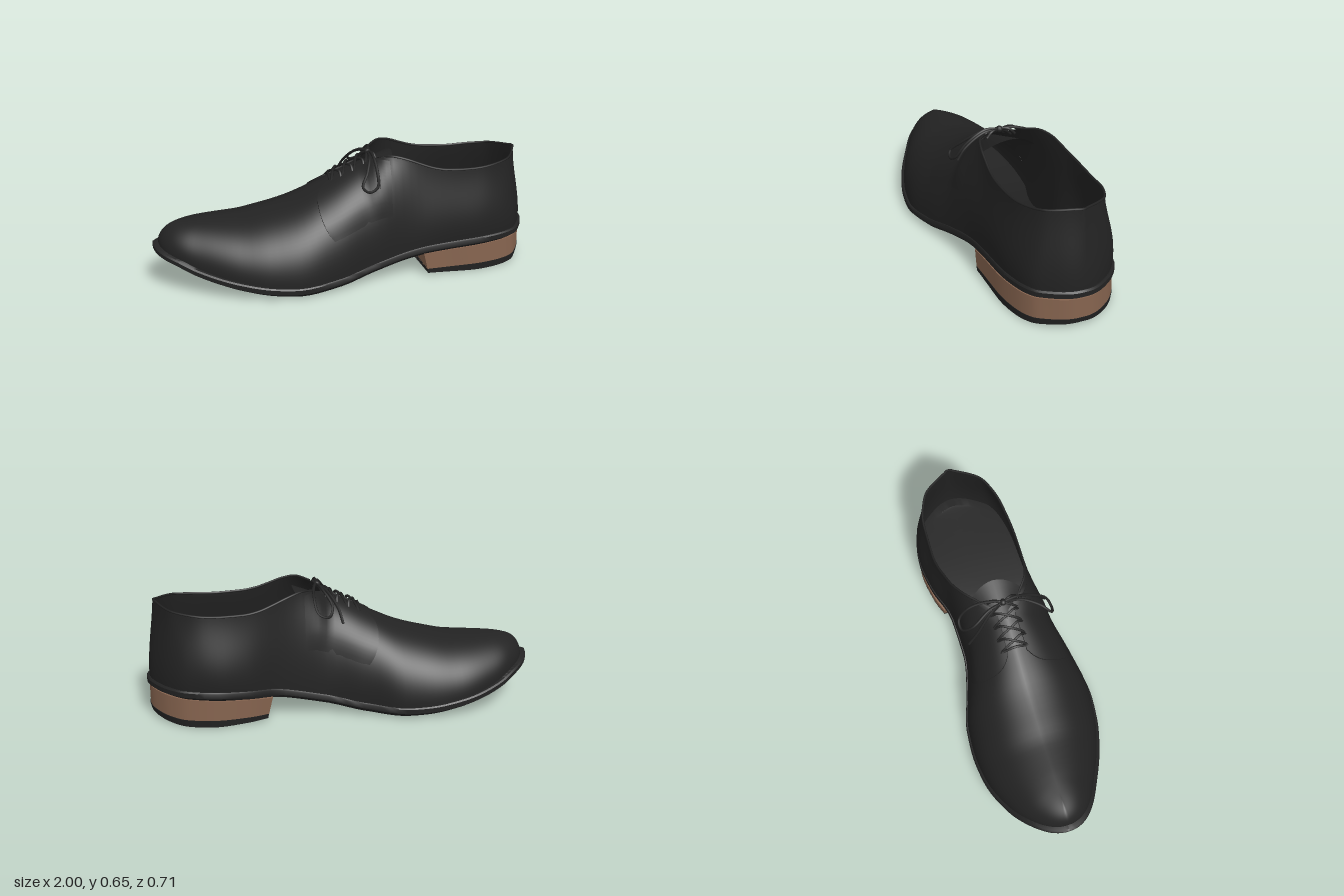
import * as THREE from 'three';
import { mergeVertices, toCreasedNormals } from 'three/addons/utils/BufferGeometryUtils.js';

const leather = new THREE.MeshStandardMaterial({ color: 0x222222, side: THREE.DoubleSide });
leather.name = 'black leather';
const stack = new THREE.MeshStandardMaterial({ color: 0x86644f, side: THREE.DoubleSide });
stack.name = 'brown heel stack';

// Smooth monotone interpolation of [x, value] pairs; keys are spread by angle so both ends round off
const key = x => Math.acos(THREE.MathUtils.clamp(-x, -1, 1));
function table(rows) {
  const k = rows.map(r => key(r[0])), v = rows.map(r => r[1]), n = rows.length;
  const d = k.slice(1).map((b, i) => (v[i + 1] - v[i]) / (b - k[i]));
  const m = v.map((_, i) => i === 0 ? d[0] : i === n - 1 ? d[n - 2]
    : d[i - 1] * d[i] <= 0 ? 0 : 2 * d[i - 1] * d[i] / (d[i - 1] + d[i]));
  return x => {
    const a = key(x);
    if (a <= k[0]) return v[0];
    if (a >= k[n - 1]) return v[n - 1];
    let i = 0;
    while (a > k[i + 1]) i++;
    const h = k[i + 1] - k[i], t = (a - k[i]) / h, t2 = t * t, t3 = t2 * t;
    return (2 * t3 - 3 * t2 + 1) * v[i] + (t3 - 2 * t2 + t) * h * m[i]
      + (3 * t2 - 2 * t3) * v[i + 1] + (t3 - t2) * h * m[i + 1];
  };
}

// Plan outline of the sole on each side
const outP = table([[-1, -.01], [-.95, .11], [-.8, .21], [-.6, .3], [-.45, .34], [-.3, .355], [-.1, .32],
  [.1, .265], [.3, .23], [.5, .22], [.65, .215], [.8, .19], [.9, .145], [.95, .08], [1, -.06]]);
const outN = table([[-1, -.01], [-.95, -.14], [-.8, -.27], [-.6, -.345], [-.45, -.36], [-.3, -.35], [-.1, -.29],
  [.1, -.25], [.3, -.255], [.5, -.315], [.65, -.337], [.8, -.315], [.9, -.25], [.95, -.19], [1, -.06]]);
// Ridge over the toes and collar edge behind it
const topX = table([[-1, -.85], [-.8, -.72], [-.6, -.57], [-.3, -.3], [.1, .1], [.5, .5], [.8, .785], [.9, .87], [1, .947]]);
const topY = table([[-1, .335], [-.8, .345], [-.6, .353], [-.45, .38], [-.3, .42], [-.15, .485], [0, .555], [.1, .6],
  [.2, .638], [.3, .618], [.4, .577], [.5, .557], [.65, .55], [.8, .561], [.9, .574], [1, .592]]);
const topP = table([[-1, -.01], [.06, -.01], [.12, .05], [.2, .125], [.3, .155], [.5, .168], [.7, .155], [.85, .11], [.93, .055], [1, -.06]]);
const topN = table([[-1, -.01], [.06, -.01], [.12, -.08], [.2, -.17], [.3, -.23], [.5, -.272], [.7, -.268], [.85, -.225], [.93, -.17], [1, -.06]]);
// Wall fullness
const side = table([[-1, .55], [-.45, .6], [.1, .65], [.2, .5], [.35, .3], [1, .3]]);
const drop = table([[-1, 0], [-.2, .07], [.1, .05], [.25, .2], [.4, .35], [1, .35]]);
const rise = table([[-1, .5], [.1, .58], [.4, .4], [1, .35]]);
const bulge = table([[-1, 1], [.2, 1.01], [.6, 1.07], [1, 1.07]]);
// Underside of sole and heel heights
const soleY = table([[-1, .2], [-.9, .145], [-.8, .1], [-.6, .045], [-.4, .015], [-.3, .01], [-.1, .025],
  [.1, .065], [.3, .105], [.4, .12], [.7, .138], [1, .155]]);
const soleThick = table([[-1, .035], [-.6, .045], [1, .048]]);
const heelBottom = table([[.4, .012], [.7, 0], [1, .028]]);
const tipTop = table([[.4, .036], [.7, .036], [1, .054]]);

// Grid surface from a function of (i, j); closed wraps i
function grid(nu, nv, f, closed = false) {
  const pos = [], idx = [], w = closed ? nu : nu + 1;
  for (let j = 0; j <= nv; j++) for (let i = 0; i < w; i++) pos.push(...f(i, j));
  for (let j = 0; j < nv; j++) for (let i = 0; i < nu; i++) {
    const a = j * w + i, b = j * w + (i + 1) % w;
    idx.push(a, a + w, b, b, a + w, b + w);
  }
  const g = new THREE.BufferGeometry();
  g.setAttribute('position', new THREE.Float32BufferAttribute(pos, 3));
  g.setIndex(idx);
  const welded = mergeVertices(g, 1e-5);
  welded.computeVertexNormals();
  return welded;
}

// Point on the upper: x along the shoe, s = side (+1 / -1), v from welt to top edge
function wall(x, s, v) {
  const mid = (outP(x) + outN(x)) / 2, z0 = mid + ((s > 0 ? outP : outN)(x) - mid) * .965;
  const x0 = x * .972 + (x > 0 ? x * .015 : 0), y0 = soleY(x) + soleThick(x) - .006;
  const x3 = topX(x), y3 = topY(x), z3 = (s > 0 ? topP : topN)(x), h = y3 - y0, k = side(x);
  const P = [[x0, y0, z0],
    [x0, y0 + h * rise(x), mid + (z0 - mid) * bulge(x)],
    [x3 + (x0 - x3) * k, y3 - h * drop(x), z3 + (z0 - z3) * k],
    [x3, y3, z3]];
  const u = 1 - v, B = [u * u * u, 3 * u * u * v, 3 * u * v * v, v * v * v];
  return [0, 1, 2].map(c => P.reduce((sum, p, i) => sum + p[c] * B[i], 0));
}

// Stacked closed layers following the plan outline; rows are [scale, heightFunction]
function layers(rows, start, n, xScale, lean) {
  return grid(n, rows.length - 1, (i, j) => {
    const a0 = start, a = a0 + (2 * Math.PI - 2 * a0) * i / (a0 > 0 ? n - 1 : n);
    const x = -Math.cos(a), p = outP(x), q = outN(x), mid = (p + q) / 2;
    const [k, fy] = rows[j], y = fy(x), z = mid + ((a <= Math.PI ? p : q) - mid) * k;
    const xs = k > .5 ? x * (1 + (k - 1) * .6) : x * .97;
    return [xs * xScale - lean * (y - .02) * (1 - x), y, z];
  }, true);
}

export function createModel() {
  const shoe = new THREE.Group();
  shoe.name = 'shoe';
  const add = (name, geo, mat = leather) => {
    const m = new THREE.Mesh(geo, mat);
    m.name = name;
    shoe.add(m);
  };
  const tube = (name, pts, r, n = 40, closed = false) => add(name, new THREE.TubeGeometry(
    new THREE.CatmullRomCurve3(pts.map(p => new THREE.Vector3(...p)), closed), n, r, 6, closed));

  // Upper
  const N = 144;
  add('upper', grid(N, 24, (i, j) => {
    const a = 2 * Math.PI * i / N;
    return wall(-Math.cos(a), a <= Math.PI ? 1 : -1, j / 24);
  }, true));

  // Sole with welt and insole
  const lift = f => x => soleY(x) + soleThick(x) * f;
  add('sole', toCreasedNormals(layers([[0, lift(0)], [.5, lift(0)], [.95, lift(0)], [1, lift(.35)], [1, lift(.85)],
    [.985, lift(1)], [.9, lift(1)], [0, lift(1)]], 0, N, 1, 0), .6));

  // Heel
  const a0 = key(.4);
  add('heelStack', toCreasedNormals(layers([[0, tipTop], [.99, tipTop], [.99, lift(.05)], [0, lift(.05)]], a0, 72, .995, .4), .6), stack);
  add('heelTip', toCreasedNormals(layers([[0, heelBottom], [.985, heelBottom], [.995, tipTop], [0, tipTop]], a0, 72, .995, .4), .6));

  // Collar binding
  const rim = [];
  for (let i = 0; i <= 40; i++) {
    const a = key(.15) + (2 * Math.PI - 2 * key(.15)) * i / 40;
    rim.push(wall(-Math.cos(a), a <= Math.PI ? 1 : -1, 1));
  }
  tube('collarBinding', rim, .006, 100);

  // Tongue
  add('tongue', grid(12, 12, (i, j) => {
    const w = i / 6 - 1, a = j / 12;
    return [-.03 + a * (.28 - .06 * w * w), .53 + .095 * a - .08 * w * w, -.025 + w * (.1 + .05 * a)];
  }));

  // Lace flaps laid over the instep
  for (const s of [1, -1]) {
    add(s > 0 ? 'leftFlap' : 'rightFlap', toCreasedNormals(grid(18, 16, (i, j) => {
      const b = Math.max(0, Math.min(1, (j - .0) / 15)), v = .3 + .61 * b;
      const front = -.18 + .07 * b ** 8 + .06 * (1 - b) ** 4, t = Math.max(0, i - 1) / 17;
      const p = wall(front + (.2 - front) * t, s, v);
      const edge = i === 0 || j === 16 ? 0 : .009 * Math.min(1, (1 - t) * 5) * Math.min(1, b * 4);
      return [p[0], p[1] + edge * v, p[2] + s * edge * (1.1 - v)];
    }), .7));
  }

  // Criss-cross laces
  const rows = [-.09, -.03, .03, .09];
  rows.forEach((x, i) => {
    const y = topY(x) + .014, y2 = topY(x + .055) + .014;
    for (const s of [1, -1]) {
      tube('lace', [[x, y - .035, -.01 + s * .075], [x + .012, y - .006, -.01 + s * .045],
        [x + .028, (y + y2) / 2 + .004 + s * .003, -.01], [x + .05, y2 - .006, -.01 - s * .045],
        [x + .055, y2 - .035, -.01 - s * .075]], .007, 16);
    }
    if (i === 0) tube('lace', [[x, y - .03, .06], [x, y, -.01], [x, y - .03, -.08]], .007, 12);
  });

  // Knot, bow loops and loose ends
  const knot = new THREE.SphereGeometry(.018, 12, 8);
  knot.translate(.12, .627, -.01);
  add('knot', knot);
  tube('leftBow', [[.12, .63, 0], [.125, .637, .07], [.125, .58, .17], [.115, .51, .225], [.07, .492, .236],
    [.04, .515, .225], [.075, .57, .17], [.11, .625, .08]], .007, 60, true);
  tube('rightBow', [[.12, .63, -.02], [.14, .636, -.08], [.15, .6, -.18], [.13, .535, -.24], [.08, .52, -.24],
    [.06, .56, -.19], [.1, .62, -.09]], .007, 60, true);
  tube('leftLaceEnd', [[.12, .63, 0], [.13, .625, .08], [.13, .56, .175], [.128, .5, .215]], .007);
  tube('rightLaceEnd', [[.12, .63, -.02], [.08, .615, -.09], [.03, .545, -.17], [.01, .48, -.225]], .007);

  return shoe;
}
